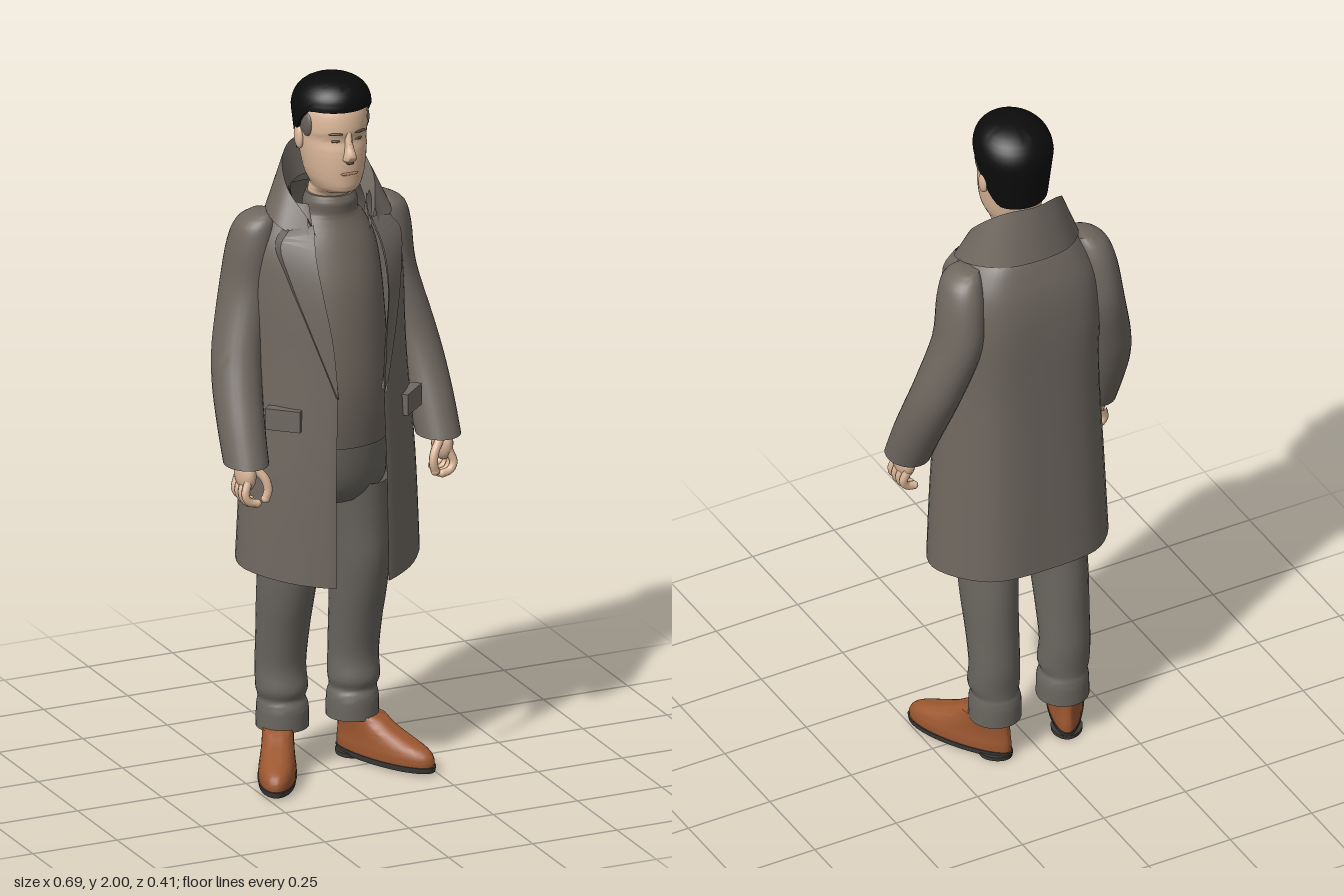
import * as THREE from 'three';
import { toCreasedNormals } from 'three/addons/utils/BufferGeometryUtils.js';

const mat = (name, color, side = THREE.FrontSide) => {
  const m = new THREE.MeshStandardMaterial({ color, side });
  m.name = name;
  return m;
};
const V = (x, y, z) => new THREE.Vector3(x, y, z);

// Smooth interpolation of rows of numbers, n steps between neighbours
function dense(keys, n = 4) {
  const at = i => keys[Math.min(Math.max(i, 0), keys.length - 1)];
  const out = [];
  for (let i = 0; i < keys.length - 1; i++) {
    for (let s = 0; s < n; s++) {
      const t = s / n;
      out.push(keys[i].map((b, c) => {
        const a = at(i - 1)[c], d = at(i + 1)[c], e = at(i + 2)[c];
        return b + 0.5 * t * (d - a + t * (2 * a - 5 * b + 4 * d - e + t * (3 * (b - d) + e - a)));
      }));
    }
  }
  out.push(keys[keys.length - 1]);
  return out;
}

// Skin over rows of points, listed bottom to top and turning from +z to +x
function loft(rows, { closed = true, capLow = false, capHigh = false, mirror = false, crease = 0.9 } = {}) {
  const centre = r => {
    const c = V(0, 0, 0);
    r.forEach(p => c.add(p));
    c.divideScalar(r.length);
    return r.map(() => c.clone());
  };
  let all = [...rows];
  if (capLow) all.unshift(centre(rows[0]));
  if (capHigh) all.push(centre(rows[rows.length - 1]));
  if (mirror) all = all.map(r => r.map(p => V(-p.x, p.y, p.z)).reverse());
  const n = all[0].length, pos = [], idx = [];
  all.forEach(r => r.forEach(p => pos.push(p.x, p.y, p.z)));
  for (let i = 0; i < all.length - 1; i++) {
    for (let j = 0; j < (closed ? n : n - 1); j++) {
      const k = (j + 1) % n, a = i * n + j, b = i * n + k, c = a + n, d = b + n;
      idx.push(a, b, d, a, d, c);
    }
  }
  const g = new THREE.BufferGeometry();
  g.setAttribute('position', new THREE.Float32BufferAttribute(pos, 3));
  g.setIndex(idx);
  return toCreasedNormals(g, crease);
}

// Horizontal ellipse; taper widens the front end
function ring(y, x, z, rx, rz, n = 28, taper = 0) {
  return Array.from({ length: n }, (_, i) => {
    const a = i / n * Math.PI * 2;
    return V(x + rx * Math.sin(a) * (1 + taper * Math.cos(a)), y, z + rz * Math.cos(a));
  });
}
const limb = keys => dense(keys).map(([y, x, z, rx, rz]) => ring(y, x, z, rx, rz));
// Centred body from [y, half width, back z, front z]
const body = (keys, n = 4) => dense(keys, n).map(([y, w, b, f]) => ring(y, 0, (b + f) / 2, w, (f - b) / 2, 36));
// Line running from one half across the back to its mirror image
const across = (half, n) => new THREE.CatmullRomCurve3(
  [...half, ...half.slice(0, -1).reverse().map(p => V(-p.x, p.y, p.z))]).getPoints(n);

export function createModel() {
  const model = new THREE.Group();
  const coat = mat('coat wool', 0x6f6860, THREE.DoubleSide);
  const knit = mat('sweater knit', 0x6d655c);
  const cloth = mat('trouser cloth', 0x6a665f);
  const skin = mat('skin', 0xdcb89a);
  const hairMat = mat('hair', 0x0c0c0d);
  const leather = mat('shoe leather', 0x9c5730);
  const rubber = mat('sole rubber', 0x3d3a38);
  const stubble = mat('short side hair', 0x6a625b);
  const shade = mat('eyes and brows', 0x5b473b);
  const lip = mat('lips', 0xb98870);
  const add = (name, geo, material, parent = model) => {
    const m = new THREE.Mesh(geo, material);
    m.name = name;
    parent.add(m);
    return m;
  };
  const ball = (name, material, p, s, parent) => {
    const m = add(name, new THREE.SphereGeometry(1, 20, 14), material, parent);
    m.position.set(...p);
    m.scale.set(...s);
    return m;
  };

  // Coat body: y, front edge, front panel, side, back panel (x, z each), back z
  const coatRows = dense([
    [0.62, 0.078, 0.205, 0.185, 0.13, 0.262, -0.02, 0.17, -0.175, -0.203],
    [0.9, 0.075, 0.2, 0.178, 0.125, 0.248, -0.02, 0.16, -0.17, -0.198],
    [1.2, 0.07, 0.19, 0.165, 0.11, 0.225, -0.03, 0.155, -0.165, -0.193],
    [1.4, 0.095, 0.165, 0.165, 0.09, 0.225, -0.04, 0.16, -0.165, -0.19],
    [1.52, 0.1, 0.115, 0.165, 0.06, 0.215, -0.055, 0.15, -0.155, -0.178],
    [1.6, 0.085, 0.065, 0.13, 0.035, 0.172, -0.05, 0.12, -0.135, -0.155],
    [1.65, 0.085, 0.045, 0.105, 0.02, 0.125, -0.045, 0.09, -0.115, -0.135],
  ], 5).map(([y, ex, ez, mx, mz, sx, sz, bx, bz, cz]) => {
    const pts = across([V(ex + 0.012, y, ez - 0.02), V(ex, y, ez), V(mx, y, mz),
      V(sx, y, sz), V(bx, y, bz), V(0, y, cz)], 60);
    const tilt = 0.1 * Math.max(0, (0.9 - y) / 0.28);   // hem dips at the front
    pts.forEach(p => { p.y -= p.z * tilt; });
    return pts;
  });
  add('coatBody', loft(coatRows, { closed: false }), coat);

  // Upturned collar: outer fall, raised edge, inner stand
  const collarRows = [
    [V(0.105, 1.56, 0.092), V(0.168, 1.595, 0.03), V(0.165, 1.62, -0.06), V(0.1, 1.63, -0.13), V(0, 1.635, -0.152)],
    [V(0.1, 1.62, 0.07), V(0.128, 1.69, 0.0), V(0.112, 1.755, -0.065), V(0.07, 1.785, -0.1), V(0, 1.79, -0.118)],
    [V(0.078, 1.565, 0.085), V(0.1, 1.63, 0.0), V(0.095, 1.67, -0.05), V(0.06, 1.68, -0.085), V(0, 1.685, -0.1)],
  ].map(h => across(h, 48));
  add('collar', loft(collarRows, { closed: false }), coat);

  // Lapels: opening edge, outer edge, underside
  const line = pts => new THREE.CatmullRomCurve3(pts).getPoints(16);
  const outer = [V(0.072, 1.14, 0.204), V(0.13, 1.33, 0.148), V(0.165, 1.46, 0.1), V(0.178, 1.55, 0.065), V(0.15, 1.59, 0.058)];
  const lapelRows = [
    line([V(0.068, 1.14, 0.2), V(0.08, 1.3, 0.188), V(0.096, 1.42, 0.166), V(0.1, 1.52, 0.126), V(0.085, 1.6, 0.078)]),
    line(outer),
    line(outer.map(p => V(p.x, p.y, p.z - 0.035))),
  ];

  // Sleeves, hands, pockets, trouser legs and shoes, once per side
  const sleeve = limb([
    [0.95, 0.285, 0.075, 0.06, 0.07], [1.05, 0.28, 0.03, 0.063, 0.075],
    [1.15, 0.27, -0.015, 0.066, 0.078], [1.25, 0.252, -0.05, 0.067, 0.08],
    [1.4, 0.216, -0.08, 0.066, 0.083], [1.52, 0.203, -0.072, 0.061, 0.08],
    [1.585, 0.193, -0.062, 0.05, 0.065], [1.612, 0.175, -0.058, 0.028, 0.04],
  ]);
  const leg = limb([
    [0.12, 0.104, -0.082, 0.072, 0.074], [0.18, 0.104, -0.082, 0.07, 0.074],
    [0.205, 0.106, -0.084, 0.064, 0.067], [0.235, 0.107, -0.08, 0.071, 0.072],
    [0.3, 0.108, -0.086, 0.069, 0.071], [0.4, 0.108, -0.073, 0.071, 0.081],
    [0.5, 0.108, -0.056, 0.074, 0.097], [0.6, 0.105, -0.04, 0.077, 0.108],
    [0.7, 0.1, -0.03, 0.08, 0.11], [0.84, 0.085, -0.015, 0.08, 0.113],
  ]);
  const shoeRing = ([y, b, f, w]) => ring(y, 0, (b + f) / 2, w, (f - b) / 2, 32, 0.14);
  const upper = dense([
    [0.018, -0.163, 0.163, 0.05], [0.04, -0.164, 0.163, 0.051], [0.062, -0.162, 0.145, 0.048],
    [0.082, -0.16, 0.095, 0.045], [0.105, -0.158, 0.035, 0.043], [0.128, -0.155, -0.005, 0.043],
  ]).map(shoeRing);
  const sole = [[0.006, -0.164, 0.165, 0.05], [0.022, -0.168, 0.169, 0.053]].map(shoeRing);
  const heel = [[0, -0.163, -0.07, 0.042], [0.012, -0.165, -0.068, 0.043]].map(shoeRing);

  for (const s of [1, -1]) {
    const side = s > 0 ? 'left' : 'right', mirror = s < 0;
    add(side + 'Lapel', loft(lapelRows, { closed: false, mirror }), coat);
    add(side + 'Sleeve', loft(sleeve, { capLow: true, capHigh: true, mirror }), coat);
    add(side + 'TrouserLeg', loft(leg, { capLow: true, mirror }), cloth);

    const flap = add(side + 'PocketFlap', new THREE.BoxGeometry(0.098, 0.06, 0.03), coat);
    flap.position.set(s * 0.186, 1.07, 0.106);
    flap.rotation.set(0, s * 0.75, 0);

    // Hand with curled fingers and thumb
    const hand = new THREE.Group();
    hand.name = side + 'Hand';
    model.add(hand);
    ball('palm', skin, [s * 0.292, 0.925, 0.085], [0.026, 0.05, 0.046], hand);
    const finger = (name, pts, r) => {
      const path = pts.map(([x, y, z]) => V(s * x, y, z));
      add(name, new THREE.TubeGeometry(new THREE.CatmullRomCurve3(path), 10, r, 8), skin, hand);
      ball(name + 'Tip', skin, path[path.length - 1].toArray(), [r, r, r], hand);
    };
    for (let i = 0; i < 4; i++) {
      const z = 0.05 + i * 0.022, low = 0.842 + Math.abs(i - 1.6) * 0.005;
      finger('finger', [[0.298, 0.91, z], [0.309, 0.875, z + 0.006], [0.297, low + 0.006, z + 0.008], [0.275, low, z + 0.008]], 0.0115);
    }
    finger('thumb', [[0.275, 0.945, 0.11], [0.252, 0.915, 0.125], [0.245, 0.885, 0.13], [0.252, 0.86, 0.128]], 0.0125);

    // Shoe turned outwards
    const shoe = new THREE.Group();
    shoe.name = side + 'Shoe';
    shoe.position.set(s * 0.16, 0, 0.007);
    shoe.rotation.y = s * 0.46;
    model.add(shoe);
    add('upper', loft(upper, { capHigh: true }), leather, shoe);
    add('sole', loft(sole, { capLow: true, capHigh: true }), rubber, shoe);
    add('heel', loft(heel, { capLow: true, capHigh: true }), rubber, shoe);

    // Paired features of the head
    ball(side + 'Ear', skin, [s * 0.094, 1.832, 0.0], [0.011, 0.034, 0.02]).rotation.x = -0.15;
    ball(side + 'SideHair', stubble, [s * 0.084, 1.878, 0.028], [0.012, 0.038, 0.032]);
    ball(side + 'Eye', shade, [s * 0.034, 1.842, 0.106], [0.013, 0.004, 0.004]).rotation.y = s * 0.3;
    ball(side + 'Brow', shade, [s * 0.036, 1.864, 0.112], [0.02, 0.004, 0.004]).rotation.y = s * 0.35;
  }

  // Sweater with rolled neck
  add('sweater', loft(body([
    [0.97, 0.155, -0.13, 0.145], [1.08, 0.157, -0.13, 0.158], [1.2, 0.15, -0.13, 0.16],
    [1.4, 0.14, -0.13, 0.14], [1.52, 0.13, -0.125, 0.103], [1.59, 0.1, -0.1, 0.072],
    [1.615, 0.078, -0.08, 0.066], [1.645, 0.074, -0.074, 0.07], [1.665, 0.066, -0.066, 0.062],
  ]), { capLow: true, capHigh: true }), knit);
  add('trouserHips', loft(body([
    [0.79, 0.1, -0.1, 0.07], [0.83, 0.155, -0.135, 0.105], [0.9, 0.158, -0.13, 0.125], [1.02, 0.15, -0.12, 0.138],
  ]), { capLow: true, capHigh: true }), cloth);

  // Head and neck
  add('head', loft(body([
    [1.63, 0.06, -0.062, 0.05], [1.672, 0.059, -0.065, 0.058], [1.69, 0.058, -0.07, 0.104],
    [1.702, 0.064, -0.073, 0.118], [1.73, 0.076, -0.08, 0.122], [1.77, 0.084, -0.09, 0.124],
    [1.81, 0.089, -0.098, 0.122], [1.842, 0.091, -0.1, 0.114], [1.868, 0.093, -0.1, 0.121],
    [1.92, 0.09, -0.1, 0.112], [1.96, 0.068, -0.08, 0.08],
  ]), { capHigh: true, crease: 1.5 }), skin);
  add('nose', loft(body([
    [1.782, 0.01, 0.1, 0.126], [1.79, 0.019, 0.1, 0.14], [1.805, 0.016, 0.1, 0.147],
    [1.83, 0.011, 0.1, 0.135], [1.868, 0.008, 0.1, 0.122],
  ], 3), { capLow: true, capHigh: true }), skin);
  ball('nostrils', shade, [0, 1.782, 0.127], [0.011, 0.004, 0.006]);
  ball('mouth', lip, [0, 1.75, 0.121], [0.026, 0.005, 0.004]);

  // Hair cap: hairline high at the front, low at the nape
  const hairRows = [];
  for (let i = 0; i <= 16; i++) {
    const t = Math.max(0, i - 1) / 15;
    hairRows.push(Array.from({ length: 48 }, (_, j) => {
      const a = j / 48 * Math.PI * 2, turn = Math.min(a, Math.PI * 2 - a);
      const low = 1.925 - 0.15 * THREE.MathUtils.smoothstep(turn, 0.95, 2.3);
      const y = low + (2 - low) * Math.sin(t * Math.PI / 2);
      const up = Math.min(1, Math.max(0, (y - 1.91) / 0.09));
      let r = Math.pow(Math.max(0, 1 - Math.pow(up, 2.4)), 1 / 2.4);
      if (y < 1.91) r = 1 - (1.91 - y) * 1.1;
      if (i === 0) r *= 0.82;
      return V(0.107 * r * Math.sin(a), y, 0.004 + 0.014 * up + 0.116 * r * Math.cos(a));
    }));
  }
  add('hair', loft(hairRows, { capHigh: true, crease: 1.2 }), hairMat);

  return model;
}
